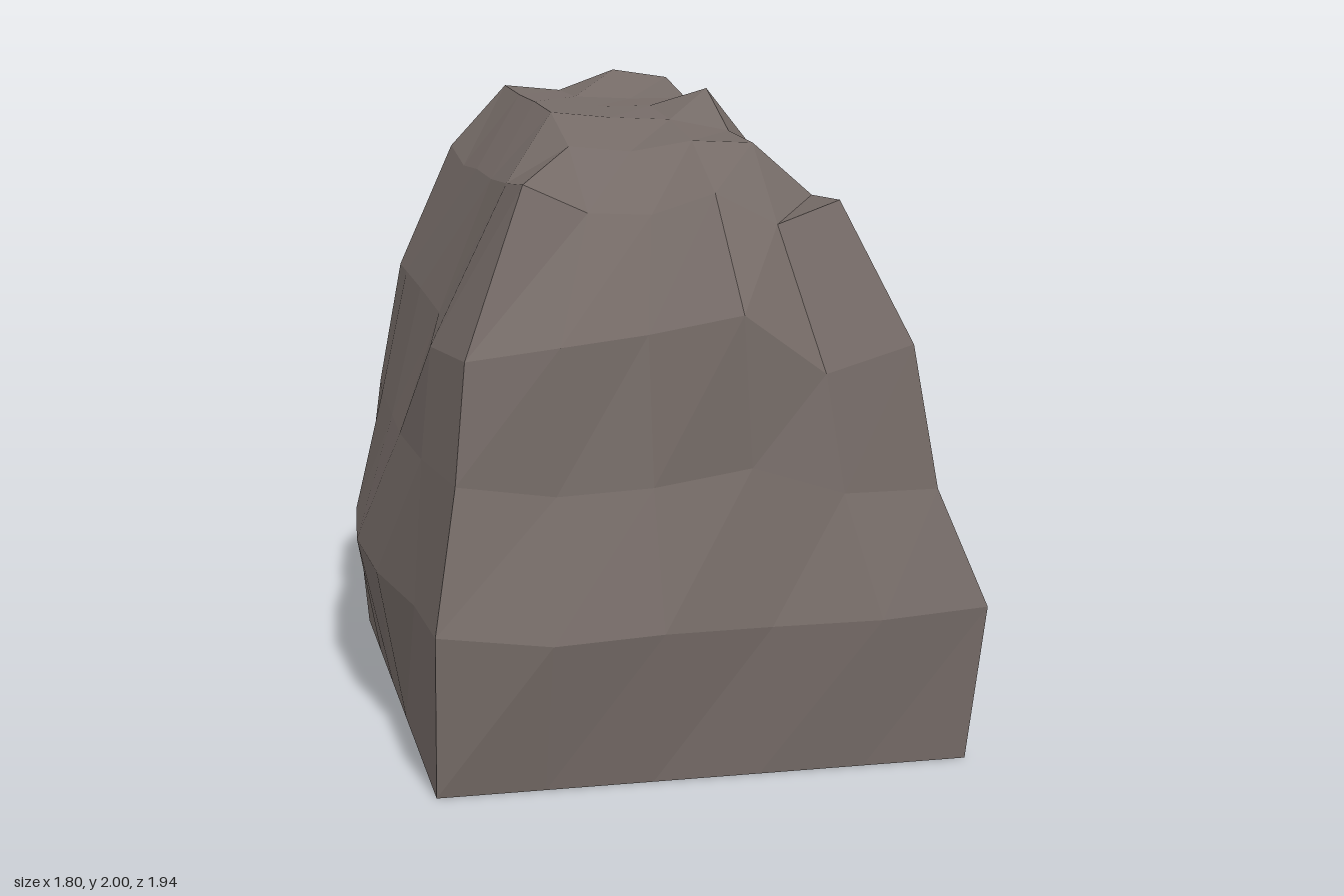
import * as THREE from 'three';

const BACK = -0.97;

// Each ring runs from the right back edge, across the front, to the left back edge.
// front = z of the front corners, step = spacing along the sides,
// out = outward reach of each point (x on the sides, z on the front), y = heights.
const RINGS = [
  { front: 0.88, step: 0.37,
    out: [0.8, 0.8, 0.8, 0.8, 0.8, 0.8, 0.88, 0.88, 0.88, 0.88, 0.84, 0.84, 0.84, 0.84, 0.84, 0.84],
    y: new Array(16).fill(0) },
  { front: 0.91, step: 0.415,
    out: [0.8, 0.86, 0.9, 0.88, 0.81, 0.8, 0.97, 0.95, 0.91, 0.93, 0.89, 0.87, 0.89, 0.87, 0.9, 0.83],
    y: [0.46, 0.48, 0.48, 0.48, 0.48, 0.5, 0.47, 0.48, 0.47, 0.475, 0.49, 0.51, 0.47, 0.47, 0.49, 0.44] },
  { front: 0.8, step: 0.385,
    out: [0.74, 0.76, 0.77, 0.79, 0.77, 0.72, 0.82, 0.81, 0.83, 0.8, 0.76, 0.78, 0.8, 0.79, 0.84, 0.74],
    y: [0.9, 0.9, 0.9, 0.92, 0.92, 0.92, 0.88, 0.89, 0.94, 0.84, 0.84, 0.89, 0.93, 0.86, 0.95, 0.83] },
  { front: 0.75, step: 0.385,
    out: [0.66, 0.66, 0.66, 0.65, 0.73, 0.68, 0.8, 0.75, 0.82, 0.75, 0.69, 0.7, 0.7, 0.68, 0.73, 0.68],
    y: [1.32, 1.32, 1.32, 1.3, 1.26, 1.28, 1.32, 1.34, 1.4, 1.2, 1.28, 1.22, 1.22, 1.38, 1.34, 1.19] },
];

// Crown heights, front row to back row, right to left
const CROWN = [
  [1.77, 1.68, 1.67, 1.73, 1.63, 1.70],
  [1.74, 1.85, 1.83, 1.86, 1.85, 1.68],
  [1.72, 1.93, 1.91, 1.90, 1.86, 1.72],
  [1.72, 1.94, 1.92, 1.92, 1.975, 1.73],
  [1.70, 1.94, 1.93, 1.92, 1.92, 1.72],
  [1.74, 1.95, 1.93, 2.00, 1.97, 1.57],
];

function ringPoints({ front, step, out, y }) {
  return y.map((h, i) => {
    if (i > 5 && i < 10) {
      return new THREE.Vector3(THREE.MathUtils.lerp(-out[5], out[10], (i - 5) / 5), h, out[i]);
    }
    const n = i <= 5 ? 5 - i : i - 10;
    const z = n === 5 ? BACK : Math.max(BACK, front - step * n);
    return new THREE.Vector3(i <= 5 ? -out[i] : out[i], h, z);
  });
}

// Flat-faced skin over a grid of points
function skin(rows) {
  const points = [];
  for (let r = 0; r < rows.length - 1; r++) {
    for (let i = 0; i < rows[r].length - 1; i++) {
      const a = rows[r][i], b = rows[r][i + 1], c = rows[r + 1][i + 1], d = rows[r + 1][i];
      points.push(a, b, c, a, c, d);
    }
  }
  const geometry = new THREE.BufferGeometry().setFromPoints(points);
  geometry.computeVertexNormals();
  return geometry;
}

export function createModel() {
  const group = new THREE.Group();
  group.name = 'rock';
  const stone = new THREE.MeshStandardMaterial({ color: 0x756b67, side: THREE.DoubleSide });
  stone.name = 'stone';
  const add = (name, geometry) => {
    const mesh = new THREE.Mesh(geometry, stone);
    mesh.name = name;
    group.add(mesh);
    return mesh;
  };

  // Crown: regular plan grid with uneven heights
  const crown = CROWN.map((row, j) =>
    row.map((y, k) => new THREE.Vector3(-0.47 + 0.196 * k, y, j === 5 ? BACK : 0.55 - 0.304 * j)));
  add('crown', skin(crown));

  // Walls: stacked rings that end in the rim of the crown
  const rim = Array.from({ length: 16 }, (_, i) =>
    i <= 5 ? crown[5 - i][0] : i <= 10 ? crown[0][i - 5] : crown[i - 10][5]);
  const rings = [...RINGS.map(ringPoints), rim];
  add('walls', skin(rings));

  // Flat back closing the outline; the base stays open
  const outline = [
    ...rings.map((r) => r[0]),
    ...crown[5].slice(1, 5),
    ...rings.map((r) => r[15]).reverse(),
  ];
  const back = new THREE.ShapeGeometry(
    new THREE.Shape(outline.map((p) => new THREE.Vector2(-p.x, p.y))));
  back.rotateY(Math.PI);
  add('back', back).position.z = BACK;

  return group;
}
